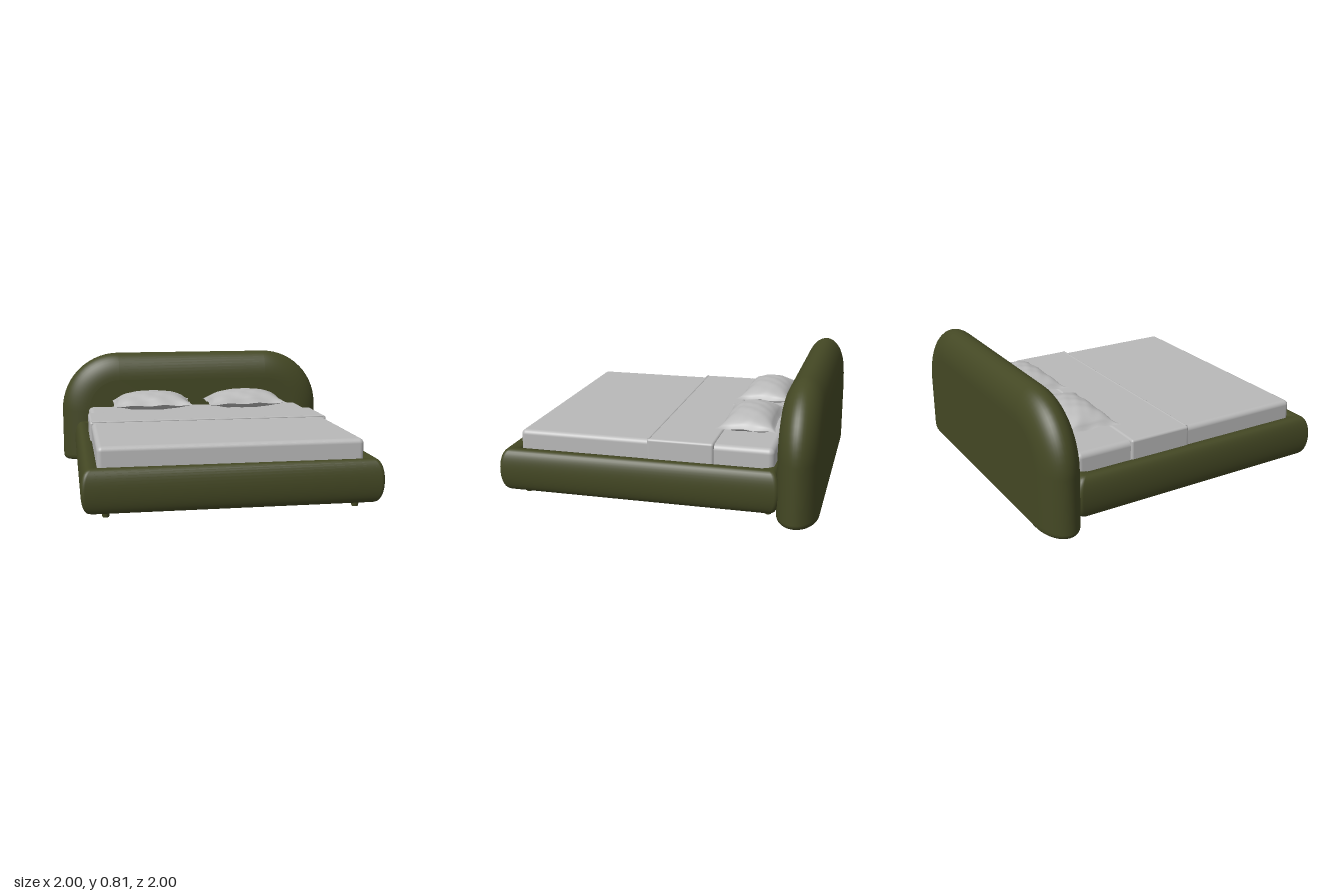
import * as THREE from 'three';
import { RoundedBoxGeometry } from 'three/addons/geometries/RoundedBoxGeometry.js';

// Rounded rectangle, counter-clockwise, with separate top and bottom corner radii
function outline(w, y0, y1, rTop, rBottom, steps = 14) {
  const corners = [
    [w - rBottom, y0 + rBottom, rBottom, -0.5], [w - rTop, y1 - rTop, rTop, 0],
    [rTop - w, y1 - rTop, rTop, 0.5], [rBottom - w, y0 + rBottom, rBottom, 1],
  ];
  const pts = [];
  for (const [cx, cy, r, start] of corners) {
    for (let i = 0; i <= steps; i++) {
      const a = Math.PI * (start + 0.5 * i / steps);
      pts.push([cx + r * Math.cos(a), cy + r * Math.sin(a)]);
    }
  }
  return pts;
}

// Skin over outlines stacked from high z to low z, closed by flat caps
function loft(rings) {
  const n = rings[0].pts.length, pos = [], idx = [];
  const addRing = ({ pts, z }) => pts.forEach(([x, y]) => pos.push(x, y, z));
  rings.forEach(addRing);
  for (let i = 0; i < rings.length - 1; i++) {
    for (let j = 0; j < n; j++) {
      const k = (j + 1) % n, a = i * n + j, b = i * n + k;
      idx.push(a, a + n, b, b, a + n, b + n);
    }
  }
  [rings[0], rings[rings.length - 1]].forEach((ring, end) => {
    const base = pos.length / 3;
    addRing(ring);
    const cy = ring.pts.reduce((s, p) => s + p[1], 0) / n;
    pos.push(0, cy, ring.z);
    for (let j = 0; j < n; j++) {
      const a = base + j, b = base + (j + 1) % n;
      idx.push(base + n, end ? b : a, end ? a : b);
    }
  });
  const g = new THREE.BufferGeometry();
  g.setAttribute('position', new THREE.Float32BufferAttribute(pos, 3));
  g.setIndex(idx);
  g.computeVertexNormals();
  return g;
}

// Thick padded board with a broad elliptical rim and a nearly flat base
function headboardGeometry() {
  const rings = [];
  for (let i = 0; i <= 24; i++) {
    const t = Math.PI * i / 24, inset = 0.2 * (1 - Math.sin(t));
    rings.push({
      pts: outline(1 - inset, 0.1 * inset, 0.815 - inset, 0.43 - inset, 0.035),
      z: -0.873 + 0.127 * Math.cos(t),
    });
  }
  return loft(rings);
}

// Bulging bed frame with a padded lip around the mattress
function frameGeometry() {
  const profile = [[0.11, 0.25], [0.108, 0.285], [0.095, 0.303]];
  for (let i = 0; i <= 20; i++) {
    const a = Math.PI * (0.5 - i / 20);
    const c = Math.max(0, Math.cos(a));
    profile.push([0.06 * (1 - Math.pow(c, 0.75)), 0.175 + 0.135 * Math.sin(a)]);
  }
  const rings = profile.map(([d, y]) => ({
    pts: outline(0.912 - d, -1 + d, 0.77 - d, 0.025, 0.025, 4), z: y,
  }));
  return loft(rings).rotateX(-Math.PI / 2);
}

// One side of a pillow: a stuffed panel with pinched edges and pointed corners
function pillowSide(height, sign) {
  const g = new THREE.PlaneGeometry(2, 2, 44, 32);
  const p = g.attributes.position;
  for (let i = 0; i < p.count; i++) {
    const u = p.getX(i), v = p.getY(i);
    const a = Math.max(0, 1 - Math.abs(u / 0.95) ** 2.6);
    const b = Math.max(0, 1 - Math.abs(v / 0.95) ** 2.2);
    const fold = 0.003 * Math.sin(13 * u + 4 * v) * Math.sin(9 * v - 3 * u) * a * b;
    const rim = 0.004 * Math.sin(9 * u + 7 * v) * (1 - a * b);
    p.setXYZ(i,
      u * (0.28 + 0.03 * v ** 4),
      sign * (height * Math.pow(a * b, 0.6) + fold) + rim,
      -v * (0.165 + 0.027 * u ** 4));
  }
  if (sign < 0) {
    const ix = g.index.array;
    for (let i = 0; i < ix.length; i += 3) [ix[i], ix[i + 1]] = [ix[i + 1], ix[i]];
  }
  g.computeVertexNormals();
  return g;
}

export function createModel() {
  const model = new THREE.Group();
  model.name = 'bed';
  const olive = new THREE.MeshStandardMaterial({ color: 0x444824 });
  olive.name = 'olive upholstery';
  const linen = new THREE.MeshStandardMaterial({ color: 0xb9b9b9 });
  linen.name = 'light grey linen';

  const add = (name, geometry, material, x = 0, y = 0, z = 0, parent = model) => {
    const mesh = new THREE.Mesh(geometry, material);
    mesh.name = name;
    mesh.position.set(x, y, z);
    parent.add(mesh);
    return mesh;
  };
  // Soft box given by half width, vertical range and depth range
  const softBox = (name, w, y0, y1, z0, z1, r) => add(name,
    new RoundedBoxGeometry(2 * w, y1 - y0, z1 - z0, 5, r), linen,
    0, (y0 + y1) / 2, (z0 + z1) / 2);

  add('headboard', headboardGeometry(), olive);
  add('frame', frameGeometry(), olive);

  // Short tapered feet
  const footGeometry = new THREE.CylinderGeometry(0.027, 0.02, 0.05, 20);
  for (const x of [-0.765, 0.765]) {
    for (const z of [-0.69, 0.865]) add('foot', footGeometry, olive, x, 0.025, z);
  }

  // Mattress, blanket and the turned-down sheet
  softBox('mattress', 0.808, 0.2, 0.42, -0.725, 0.87, 0.035);
  softBox('blanket', 0.812, 0.2, 0.421, -0.1, 0.885, 0.03);
  softBox('foldedSheet', 0.823, 0.22, 0.43, -0.36, 0.055, 0.015);

  // Raised hem along the edge of the fold
  const hem = new THREE.CylinderGeometry(0.008, 0.008, 1.62, 10).rotateZ(Math.PI / 2);
  add('hem', hem, linen, 0, 0.426, 0.045);

  // Pair of pillows
  const top = pillowSide(0.09, 1), bottom = pillowSide(0.045, -1);
  for (const side of [-1, 1]) {
    const pillow = new THREE.Group();
    pillow.name = side > 0 ? 'leftPillow' : 'rightPillow';
    pillow.position.set(side * 0.348, 0.47, -0.517);
    pillow.rotation.y = side * 0.015;
    add('pillowTop', top, linen, 0, 0, 0, pillow);
    add('pillowBottom', bottom, linen, 0, 0, 0, pillow);
    model.add(pillow);
  }
  return model;
}
